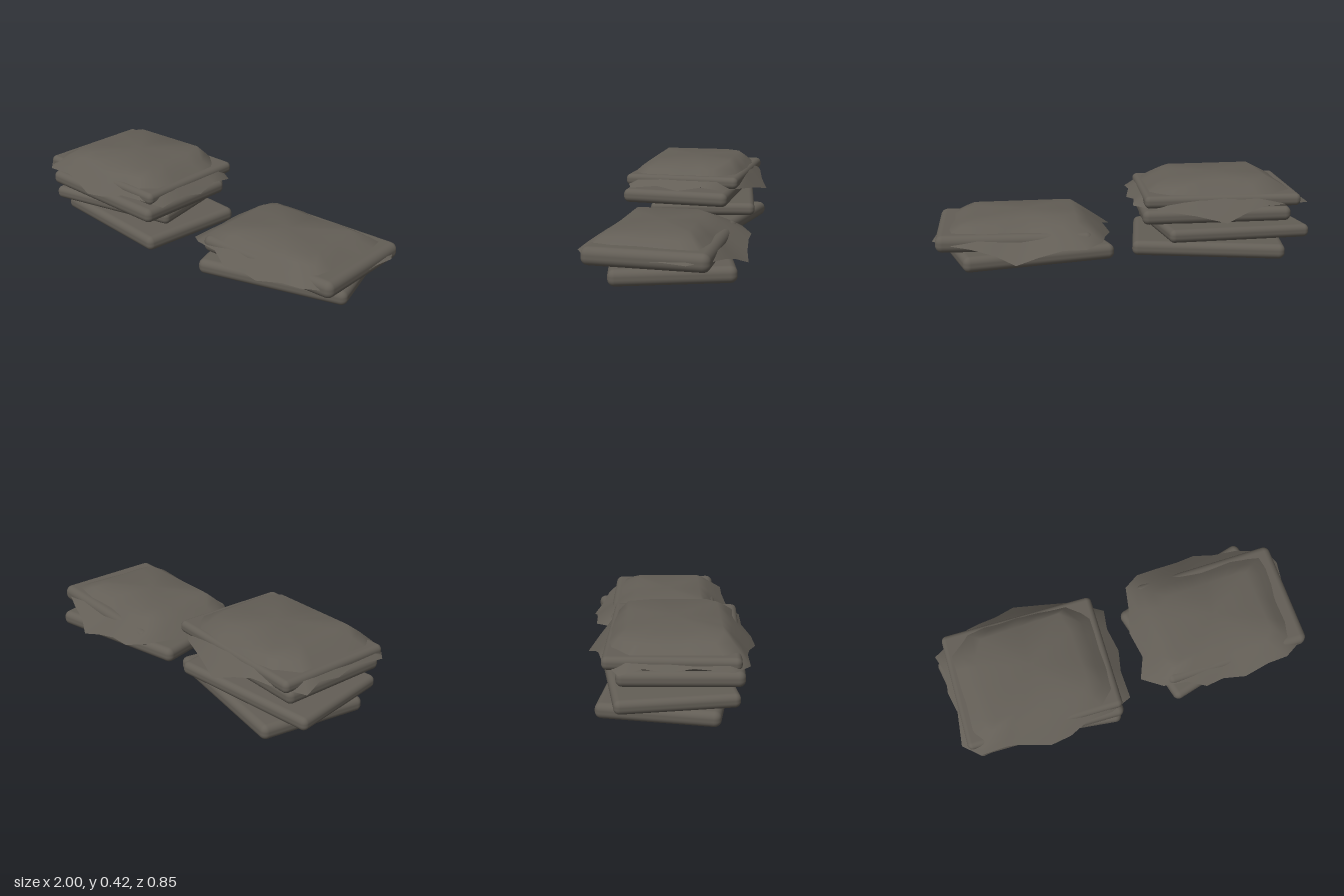
import * as THREE from 'three';
import { RoundedBoxGeometry } from 'three/addons/geometries/RoundedBoxGeometry.js';

const fabric = new THREE.MeshStandardMaterial({ color: 0x635e56, side: THREE.DoubleSide });
fabric.name = 'dark grey fabric';

// One folded bundle: a soft-edged slab, slightly turned and tipped
function slab(name, [w, h, d], [x, y, z], [rx, ry, rz]) {
  const mesh = new THREE.Mesh(new RoundedBoxGeometry(w, h, d, 4, h * 0.42), fabric);
  mesh.name = name;
  mesh.position.set(x, y, z);
  mesh.rotation.set(rx, ry, rz, 'YXZ');
  return mesh;
}

// Draped sheet: flat middle, then rings falling to a ragged hem of [x, y, z] points
function drape(name, [cx, top, cz], [hx, hz], hem) {
  const pos = [cx, top, cz], index = [], n = hem.length;
  const levels = [0, 0.35, 0.7, 1];
  for (const f of levels) {
    for (const [x, y, z] of hem) {
      const dx = x - cx, dz = z - cz;
      const t = Math.min(hx / Math.abs(dx || 1e-6), hz / Math.abs(dz || 1e-6), 0.9);
      const s = t + (1 - t) * f;
      pos.push(cx + dx * s, top + (y - top) * f + 0.03 * f * (1 - f), cz + dz * s);
    }
  }
  for (let i = 0; i < n; i++) {
    const j = (i + 1) % n;
    index.push(0, 1 + j, 1 + i);
    for (let r = 0; r < levels.length - 1; r++) {
      const a = 1 + r * n + i, b = 1 + r * n + j;
      index.push(a, b, b + n, a, b + n, a + n);
    }
  }
  const geo = new THREE.BufferGeometry();
  geo.setAttribute('position', new THREE.Float32BufferAttribute(pos, 3));
  geo.setIndex(index);
  geo.computeVertexNormals();
  const mesh = new THREE.Mesh(geo, fabric);
  mesh.name = name;
  return mesh;
}

export function createModel() {
  const model = new THREE.Group();
  model.name = 'foldedClothStacks';

  // Tall stack
  const tall = new THREE.Group();
  tall.name = 'tallStack';
  tall.add(
    slab('bottomBundle', [0.81, 0.08, 0.6], [-0.49, 0.06, 0], [0.015, -0.17, 0.02]),
    slab('secondBundle', [0.79, 0.07, 0.59], [-0.575, 0.153, -0.02], [0, 0.13, 0.03]),
    slab('thirdBundle', [0.8, 0.078, 0.6], [-0.515, 0.238, 0.06], [-0.01, -0.05, -0.01]),
    slab('topBundle', [0.83, 0.065, 0.64], [-0.53, 0.33, 0.02], [0, -0.05, 0]),
    drape('tallStackSheet', [-0.525, 0.43, 0.02], [0.255, 0.225], [
      [-0.51, 0.24, -0.40], [-0.36, 0.27, -0.35], [-0.20, 0.29, -0.30], [-0.05, 0.30, -0.19],
      [-0.07, 0.31, -0.08], [-0.05, 0.29, 0.05], [-0.08, 0.31, 0.17], [-0.08, 0.295, 0.32],
      [-0.20, 0.32, 0.37], [-0.33, 0.31, 0.37], [-0.44, 0.285, 0.41], [-0.55, 0.275, 0.42],
      [-0.70, 0.31, 0.375], [-0.77, 0.315, 0.36], [-0.91, 0.31, 0.36], [-0.99, 0.31, 0.28],
      [-0.96, 0.32, 0.10], [-0.98, 0.31, -0.02], [-0.96, 0.32, -0.13], [-0.99, 0.30, -0.24],
      [-0.83, 0.31, -0.32], [-0.72, 0.31, -0.34], [-0.62, 0.28, -0.36],
    ]),
  );

  // Short stack
  const short = new THREE.Group();
  short.name = 'shortStack';
  short.add(
    slab('bottomBundle', [0.81, 0.082, 0.6], [0.51, 0.061, -0.03], [0.02, 0.23, 0.015]),
    slab('topBundle', [0.81, 0.09, 0.61], [0.57, 0.153, -0.01], [-0.01, -0.025, 0.01]),
    drape('shortStackSheet', [0.515, 0.255, 0.015], [0.265, 0.185], [
      [0.58, 0.07, -0.43], [0.68, 0.11, -0.38], [0.80, 0.14, -0.35], [0.90, 0.15, -0.31],
      [0.96, 0.16, -0.28], [1.0, 0.15, -0.20], [0.98, 0.155, -0.08], [0.97, 0.145, 0.05],
      [0.95, 0.16, 0.20], [0.92, 0.16, 0.30], [0.83, 0.16, 0.35], [0.72, 0.15, 0.35],
      [0.58, 0.12, 0.37], [0.46, 0.12, 0.34], [0.36, 0.115, 0.35], [0.26, 0.15, 0.30],
      [0.13, 0.15, 0.28], [0.03, 0.11, 0.19], [0.08, 0.14, 0.08], [0.06, 0.13, -0.08],
      [0.10, 0.14, -0.20], [0.13, 0.15, -0.34], [0.22, 0.13, -0.40], [0.34, 0.13, -0.40],
      [0.47, 0.10, -0.41],
    ]),
  );

  model.add(tall, short);
  return model;
}
